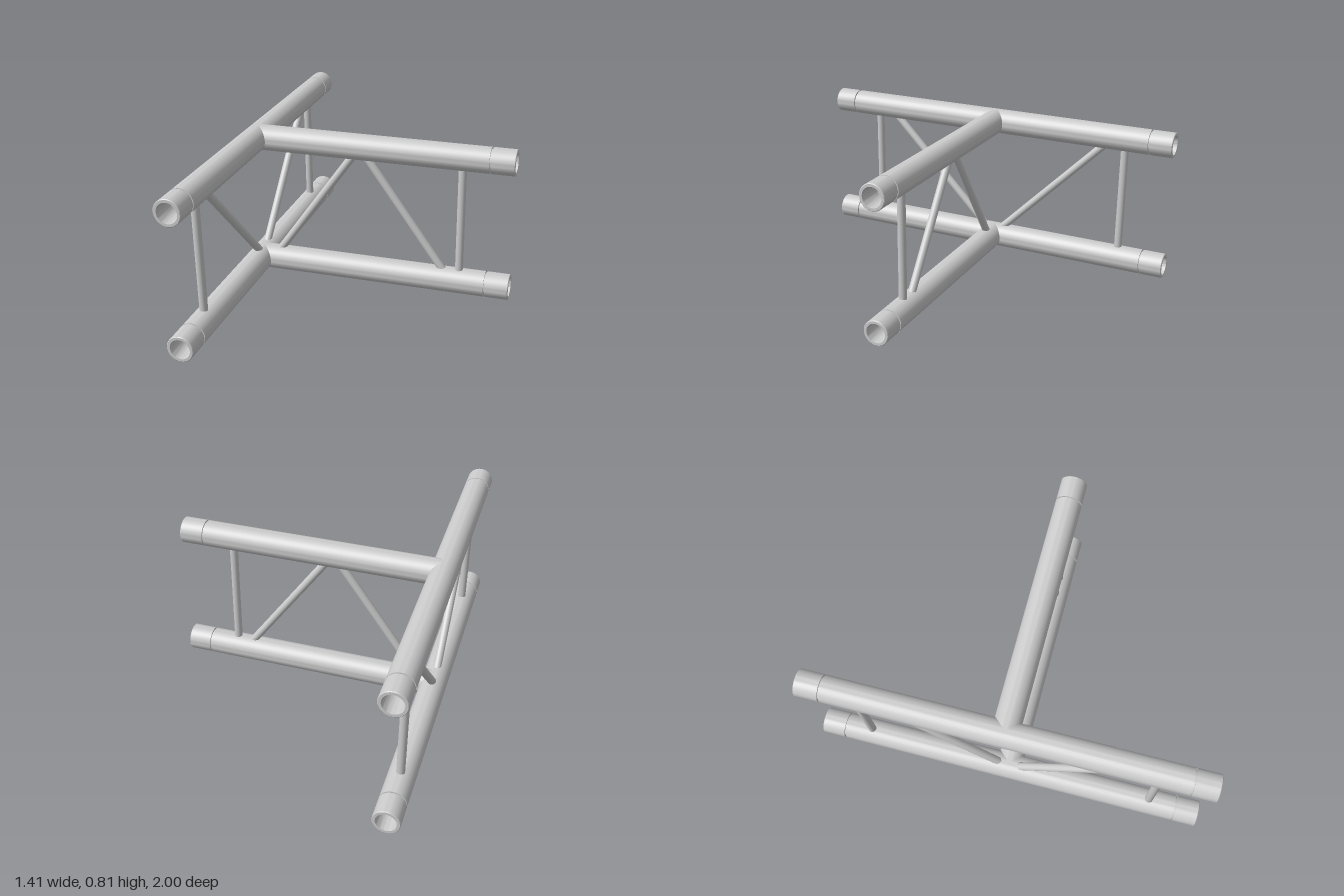
import * as THREE from 'three';
import { toCreasedNormals } from 'three/addons/utils/BufferGeometryUtils.js';

const R = 0.066;             // main tube radius
const BRACE_R = 0.0205;      // brace radius
const LOW = 0.07, HIGH = 0.747;
const CROSS_X = -0.637;      // axis of the long tubes
const END_X = 0.703;         // open end of the side arm

const material = new THREE.MeshStandardMaterial({ color: 0xcccccc });

// Profile of an open tube end at distance `end`: groove, collar, tapered socket and its floor
function endProfile(end) {
  return [
    [R, end - 0.125], [R - 0.008, end - 0.125], [R - 0.008, end - 0.118], [R, end - 0.118],
    [R, end - 0.003], [R - 0.003, end], [0.05, end], [0.044, end - 0.12], [0, end - 0.12],
  ];
}

function lathe(name, profile) {
  const points = profile.map(([r, y]) => new THREE.Vector2(r, y));
  const geometry = toCreasedNormals(new THREE.LatheGeometry(points, 48), Math.PI / 6);
  const mesh = new THREE.Mesh(geometry, material);
  mesh.name = name;
  return mesh;
}

// Round bar between two points
function brace(name, from, to) {
  const a = new THREE.Vector3(...from), b = new THREE.Vector3(...to);
  const dir = b.clone().sub(a);
  const mesh = new THREE.Mesh(new THREE.CylinderGeometry(BRACE_R, BRACE_R, dir.length(), 24), material);
  mesh.name = name;
  mesh.position.copy(a).add(b).multiplyScalar(0.5);
  mesh.quaternion.setFromUnitVectors(new THREE.Vector3(0, 1, 0), dir.normalize());
  return mesh;
}

// Diagonal given where it meets the facing sides of the tubes, run on to the tube axes
function diagonal(name, low, high, place) {
  const y0 = LOW + R, y1 = HIGH - R;
  const slope = (high - low) / (y1 - y0);
  const run = 0.035;         // keeps the bar ends hidden inside the tubes
  return brace(name, place(low - slope * run, y0 - run), place(high + slope * run, y1 + run));
}

export function createModel() {
  const model = new THREE.Group();
  model.name = 'trussTeeJunction';

  // Upper and lower chords: a long tube along z and an arm along x
  const end = endProfile(1);
  const mirrored = end.map(([r, y]) => [r, -y]).reverse();
  const armLength = END_X - CROSS_X;
  for (const [label, y] of [['lower', LOW], ['upper', HIGH]]) {
    const cross = lathe(label + 'CrossTube', [...mirrored, ...end]);
    cross.rotation.x = Math.PI / 2;
    cross.position.set(CROSS_X, y, 0);

    const arm = lathe(label + 'ArmTube', [[0, 0], [R, 0], ...endProfile(armLength)]);
    arm.rotation.z = -Math.PI / 2;
    arm.position.set(CROSS_X, y, 0);
    model.add(cross, arm);
  }

  // Braces of the cross tubes, mirrored front and back
  for (const [label, s] of [['front', 1], ['back', -1]]) {
    const place = (z, y) => [CROSS_X, y, s * z];
    model.add(brace(label + 'Post', place(0.74, LOW), place(0.74, HIGH)));
    model.add(diagonal(label + 'Diagonal', 0.07, 0.612, place));
  }

  // Braces of the arm
  const onArm = (x, y) => [x, y, 0];
  model.add(brace('armPost', onArm(0.44, LOW), onArm(0.44, HIGH)));
  model.add(diagonal('armInnerDiagonal', -0.523, -0.134, onArm));
  model.add(diagonal('armOuterDiagonal', 0.344, -0.042, onArm));

  return model;
}
